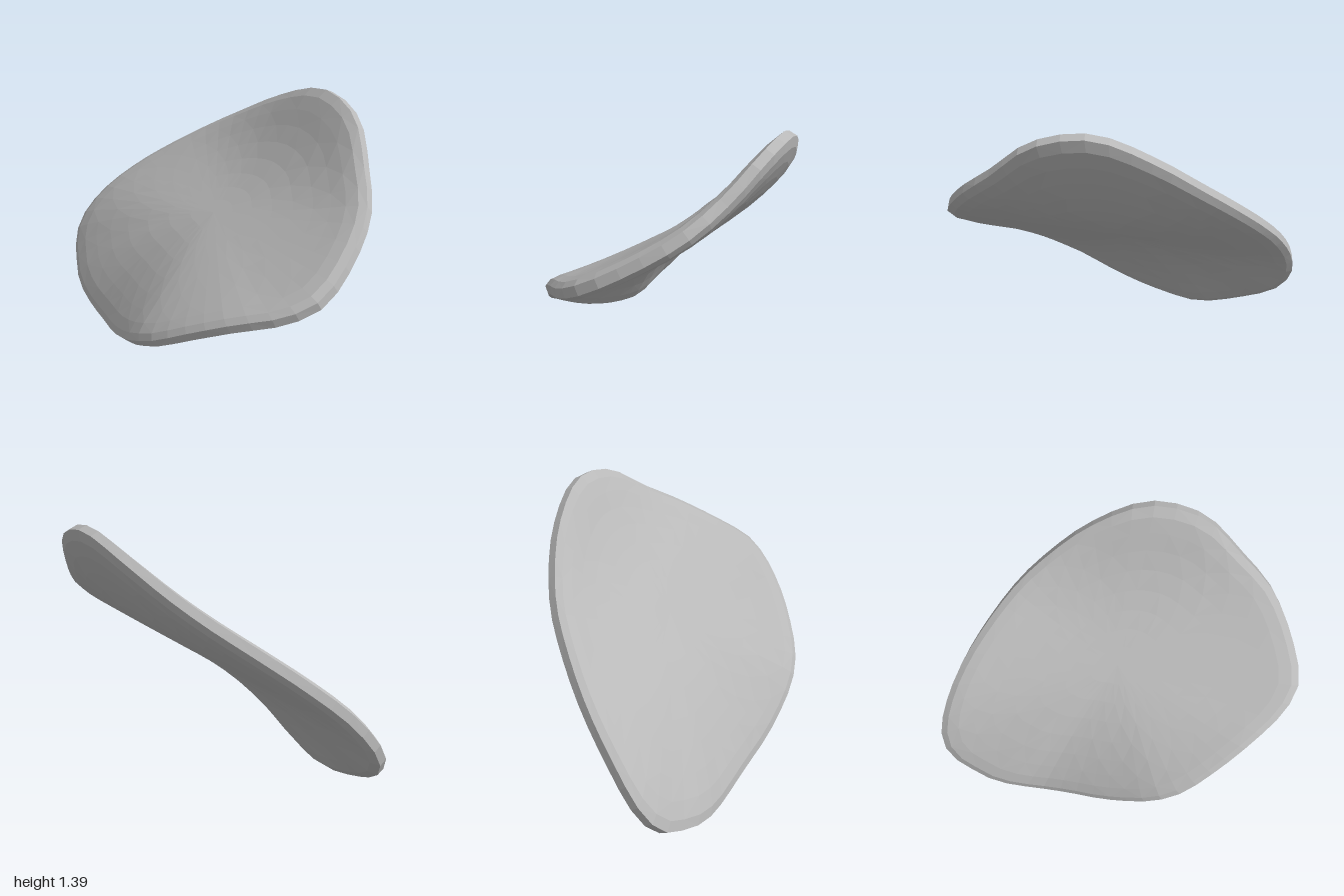
import * as THREE from 'three';

// Rim of the curved flake, counterclockwise from the front tip: x, y, z
const RIM = [
  [0, 0.795, 0.99], [0.18, 0.89, 0.935], [0.42, 1.05, 0.77], [0.54, 1.19, 0.57],
  [0.625, 1.345, 0.36], [0.64, 1.40, 0.15], [0.62, 1.385, 0], [0.535, 1.26, -0.25],
  [0.42, 1.12, -0.445], [0.29, 0.995, -0.60], [0.08, 0.83, -0.765], [-0.10, 0.69, -0.875],
  [-0.30, 0.52, -0.96], [-0.45, 0.35, -0.99], [-0.54, 0.21, -0.94], [-0.565, 0.15, -0.86],
  [-0.605, 0.10, -0.76], [-0.625, 0.05, -0.60], [-0.62, 0.03, -0.42], [-0.63, 0.08, -0.20],
  [-0.65, 0.15, 0], [-0.655, 0.25, 0.20], [-0.645, 0.33, 0.33], [-0.60, 0.41, 0.46],
  [-0.49, 0.52, 0.61], [-0.33, 0.635, 0.78], [-0.15, 0.72, 0.93],
];
const CENTRE_Y = 0.73;
const SLOPE_X = 0.6; // tilt of the middle surface at its centre
const SLOPE_Z = 0.05;
const HALF = 0.053;
const SEGMENTS = 52;

// Stations from the centre to the rim: radius fraction, half thickness
const STATIONS = [
  [0.14, HALF], [0.28, HALF], [0.42, HALF], [0.56, HALF], [0.69, HALF],
  [0.8, HALF], [0.89, HALF], [0.96, 0.046], [1, 0.025],
];

export function createModel() {
  const group = new THREE.Group();
  group.name = 'curvedFlake';
  const stone = new THREE.MeshStandardMaterial({ color: 0xb8b8b8, flatShading: true });
  stone.name = 'pale grey';

  const curve = new THREE.CatmullRomCurve3(
    RIM.map((p) => new THREE.Vector3(...p)), true, 'centripetal');

  // Middle surface: a tilted plane at the centre that bends out to the rim,
  // later and more sharply on the high side
  const middle = (u, r) => {
    const p = curve.getPointAt(((u % 1) + 1) % 1);
    const tilt = SLOPE_X * p.x + SLOPE_Z * p.z;
    const bend = Math.pow(r, 2.6 + 0.65 * p.x);
    const y = CENTRE_Y + tilt * r + (p.y - CENTRE_Y - tilt) * bend;
    return new THREE.Vector3(p.x * r, y, p.z * r);
  };

  // Point moved off the middle surface along its normal
  const offset = (u, r, t) => {
    const e = 0.008;
    const dr = middle(u, r + e).sub(middle(u, r - e));
    const du = middle(u + e, r).sub(middle(u - e, r));
    return middle(u, r).addScaledVector(dr.cross(du).normalize(), t);
  };

  // Rings run over the top, round the rim and back along the underside
  const rings = [
    ...STATIONS,
    ...STATIONS.map(([r, t]) => [r, -t]).reverse(),
  ];
  const normal = new THREE.Vector3(-SLOPE_X, 1, -SLOPE_Z).setLength(HALF);
  const positions = [normal.x, CENTRE_Y + normal.y, normal.z];
  for (const [r, t] of rings) {
    for (let i = 0; i < SEGMENTS; i++) positions.push(...offset(i / SEGMENTS, r, t).toArray());
  }
  positions.push(-normal.x, CENTRE_Y - normal.y, -normal.z);

  const index = [];
  const at = (ring, i) => 1 + ring * SEGMENTS + (i % SEGMENTS);
  const last = 1 + rings.length * SEGMENTS;
  for (let i = 0; i < SEGMENTS; i++) {
    index.push(0, at(0, i), at(0, i + 1));
    for (let k = 0; k < rings.length - 1; k++) {
      const a = at(k, i), b = at(k + 1, i), c = at(k + 1, i + 1), d = at(k, i + 1);
      if ((i + k) % 2) index.push(a, b, c, a, c, d);
      else index.push(a, b, d, b, c, d);
    }
    index.push(last, at(rings.length - 1, i + 1), at(rings.length - 1, i));
  }

  const geometry = new THREE.BufferGeometry();
  geometry.setAttribute('position', new THREE.Float32BufferAttribute(positions, 3));
  geometry.setIndex(index);

  // Stand the lowest point on the ground
  geometry.computeBoundingBox();
  geometry.translate(0, -geometry.boundingBox.min.y, 0);
  geometry.computeVertexNormals();

  const flake = new THREE.Mesh(geometry, stone);
  flake.name = 'flakeBody';
  group.add(flake);
  return group;
}
